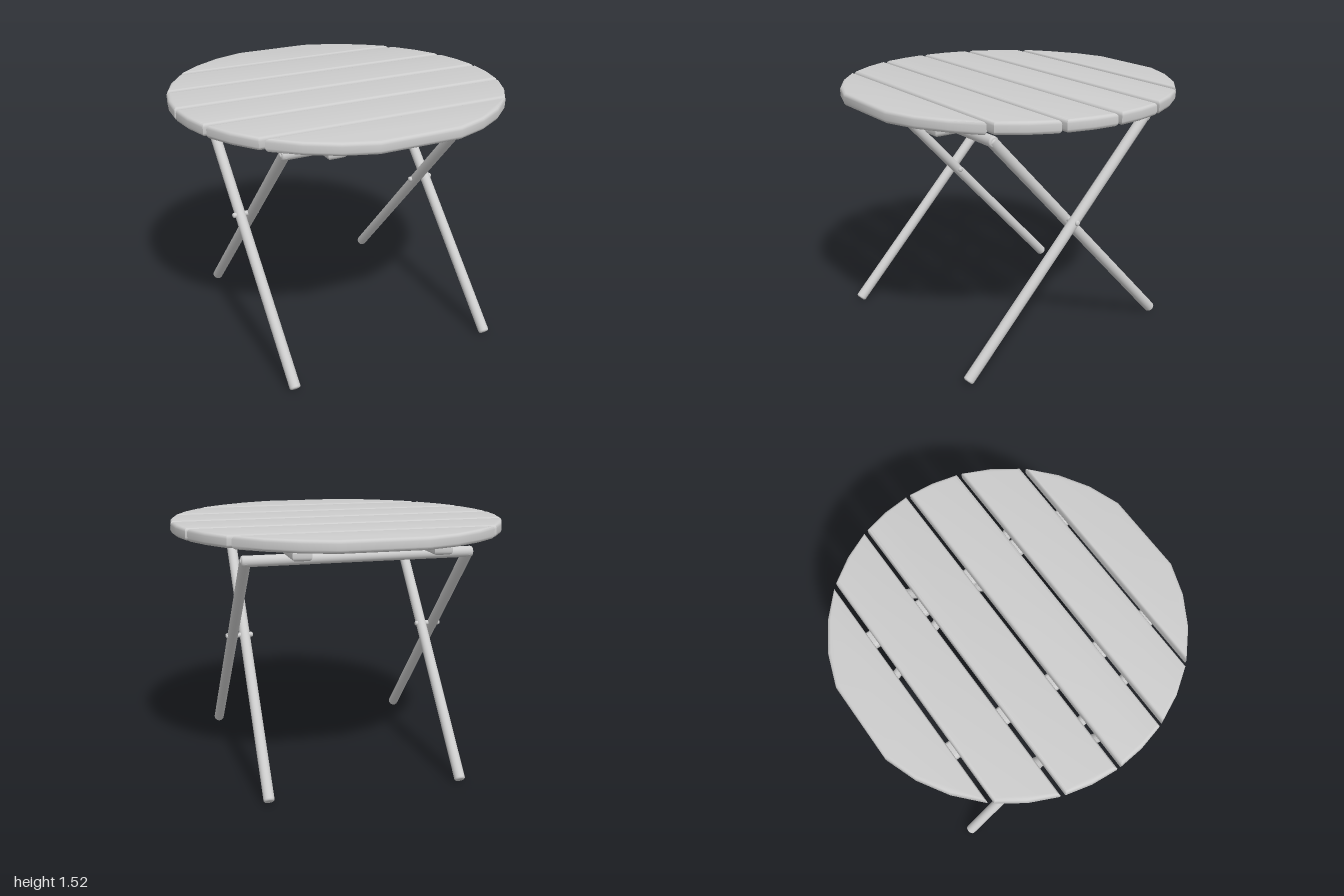
import * as THREE from 'three';
import { toCreasedNormals } from 'three/addons/utils/BufferGeometryUtils.js';

export function createModel() {
  const table = new THREE.Group();
  table.name = 'foldingTable';
  const grey = new THREE.MeshStandardMaterial({ color: 0xcccccc });
  grey.name = 'light grey';

  function add(parent, name, geometry) {
    const mesh = new THREE.Mesh(geometry, grey);
    mesh.name = name;
    parent.add(mesh);
    return mesh;
  }

  // Horizontal board with rounded edges; points are [x, z]
  function board(points, bottom, height, round) {
    const shape = new THREE.Shape(points.map(([x, z]) => new THREE.Vector2(x, z)));
    const geometry = new THREE.ExtrudeGeometry(shape, {
      depth: height - 2 * round, bevelEnabled: true, bevelThickness: round,
      bevelSize: round, bevelOffset: -round, bevelSegments: 4,
    });
    geometry.rotateX(Math.PI / 2);
    geometry.translate(0, bottom + height - round, 0);
    return toCreasedNormals(geometry, 0.6);
  }

  // Round bar with softened ends, running from a to b
  function bar(parent, name, a, b, radius, soft = 0.012) {
    const axis = b.clone().sub(a);
    const half = axis.length() / 2;
    const profile = [new THREE.Vector2(0, -half)];
    for (const end of [-1, 1]) {
      for (let i = 0; i <= 3; i++) {
        const t = (end < 0 ? i : 3 - i) / 3 * Math.PI / 2;
        profile.push(new THREE.Vector2(
          radius - soft + soft * Math.sin(t), end * (half - soft + soft * Math.cos(t))));
      }
    }
    profile.push(new THREE.Vector2(0, half));
    const mesh = add(parent, name, new THREE.LatheGeometry(profile, 20));
    mesh.position.copy(a).add(b).multiplyScalar(0.5);
    mesh.quaternion.setFromUnitVectors(new THREE.Vector3(0, 1, 0), axis.normalize());
  }

  // Round top cut into six slats
  const top = new THREE.Group();
  top.name = 'tableTop';
  table.add(top);
  for (const [z0, z1, steps] of [[0.013, 0.313, 2], [0.34, 0.64, 2], [0.667, 0.97, 3]]) {
    const a0 = Math.asin(z0), a1 = Math.asin(z1);
    const right = [];
    for (let i = 0; i <= steps; i++) {
      const a = a0 + (a1 - a0) * i / steps;
      right.push([Math.cos(a), Math.sin(a)]);
    }
    const outline = [...right, ...right.map(([x, z]) => [-x, z]).reverse()];
    add(top, 'frontSlat', board(outline, 1.445, 0.072, 0.02));
    const mirrored = outline.map(([x, z]) => [x, -z]).reverse();
    add(top, 'backSlat', board(mirrored, 1.445, 0.072, 0.02));
  }

  // Two rails holding the slats together
  for (const x of [-0.394, 0.394]) {
    const w = 0.053, l = 0.787;
    add(top, 'supportRail',
      board([[x - w, -l], [x + w, -l], [x + w, l], [x - w, l]], 1.383, 0.063, 0.022));
  }

  // Crossing leg frames: the wide one stands forward, the narrow one backward
  const r = 0.032, topY = 1.352;
  function legFrame(name, halfWidth, footZ, topZ) {
    const frame = new THREE.Group();
    frame.name = name;
    table.add(frame);
    for (const side of [-1, 1]) {
      const x = side * halfWidth;
      bar(frame, 'leg', new THREE.Vector3(x + 0.008, 0.018, footZ),
        new THREE.Vector3(x, topY + 0.012, topZ + Math.sign(topZ) * 0.012), r);
    }
    bar(frame, 'crossBar', new THREE.Vector3(-halfWidth - 0.025, topY, topZ),
      new THREE.Vector3(halfWidth + 0.025, topY, topZ), r);
  }
  legFrame('wideLegFrame', 0.652, 0.75, -0.515);
  legFrame('narrowLegFrame', 0.576, -0.72, 0.52);

  // Pivot bolts where the legs cross
  for (const side of [-1, 1]) {
    bar(table, 'pivotBolt', new THREE.Vector3(side * 0.53, 0.805, 0.006),
      new THREE.Vector3(side * 0.698, 0.805, 0.006), 0.016, 0.01);
  }
  return table;
}
